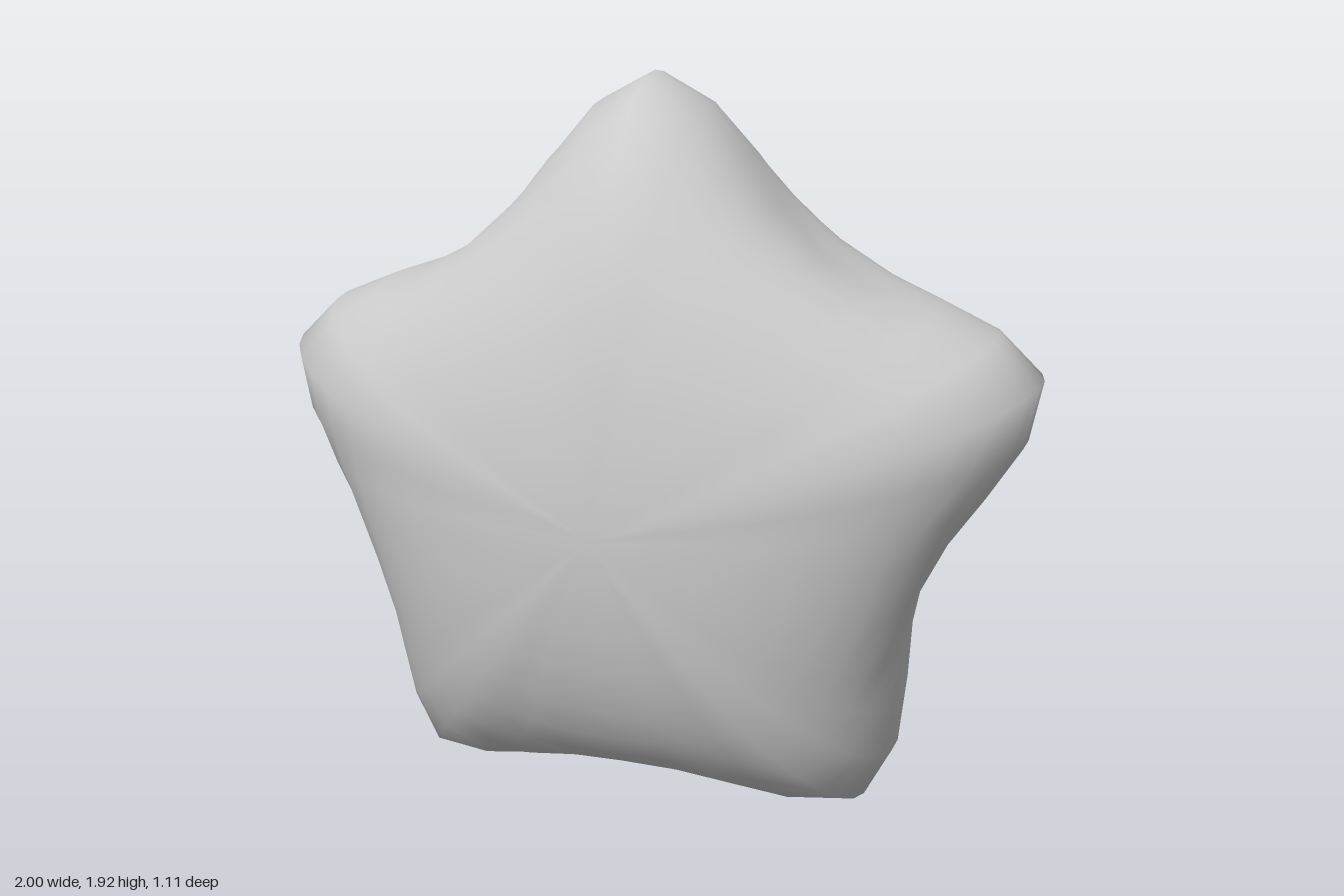
import * as THREE from 'three';
import { mergeVertices } from 'three/addons/utils/BufferGeometryUtils.js';

const CENTRE_Y = 0.876, DEPTH = 0.557;
// Half an arm from tip to valley: [degrees from the tip, radius]
const ARM = [[0, 1.0515], [8.1, 0.987], [16.1, 0.887], [24, 0.808], [36, 0.76]];

export function createModel() {
  const group = new THREE.Group();
  group.name = 'puffyStar';

  // Sphere with its poles on z; 8 segments around for each of the 5 arms
  let geo = new THREE.SphereGeometry(1, 40, 24);
  geo.rotateX(Math.PI / 2);
  geo.deleteAttribute('uv');
  geo.deleteAttribute('normal');
  geo = mergeVertices(geo, 1e-4);

  // Push the rim in and out into five arms, fading to a plain dome front and back
  const pos = geo.attributes.position;
  for (let i = 0; i < pos.count; i++) {
    const x = pos.getX(i), y = pos.getY(i), z = pos.getZ(i);
    const step = Math.round(Math.atan2(x, y) / (Math.PI / 20));
    const arm = Math.round(step / 8), offset = step - arm * 8;
    const [degrees, radius] = ARM[Math.abs(offset)];
    const angle = THREE.MathUtils.degToRad(arm * 72 + Math.sign(offset) * degrees);
    const rim = Math.hypot(x, y);
    // Valleys fade faster than the arm ridges
    const swell = 1 + (radius - 1) * Math.pow(rim, radius > 1 ? 1.5 : 4);
    const r = rim * swell;
    pos.setXYZ(i, r * Math.sin(angle), CENTRE_Y + r * Math.cos(angle), z * swell * DEPTH);
  }
  geo.computeVertexNormals();

  const star = new THREE.Mesh(geo, new THREE.MeshStandardMaterial({ color: 0xcccccc }));
  star.name = 'starBody';
  group.add(star);
  return group;
}
